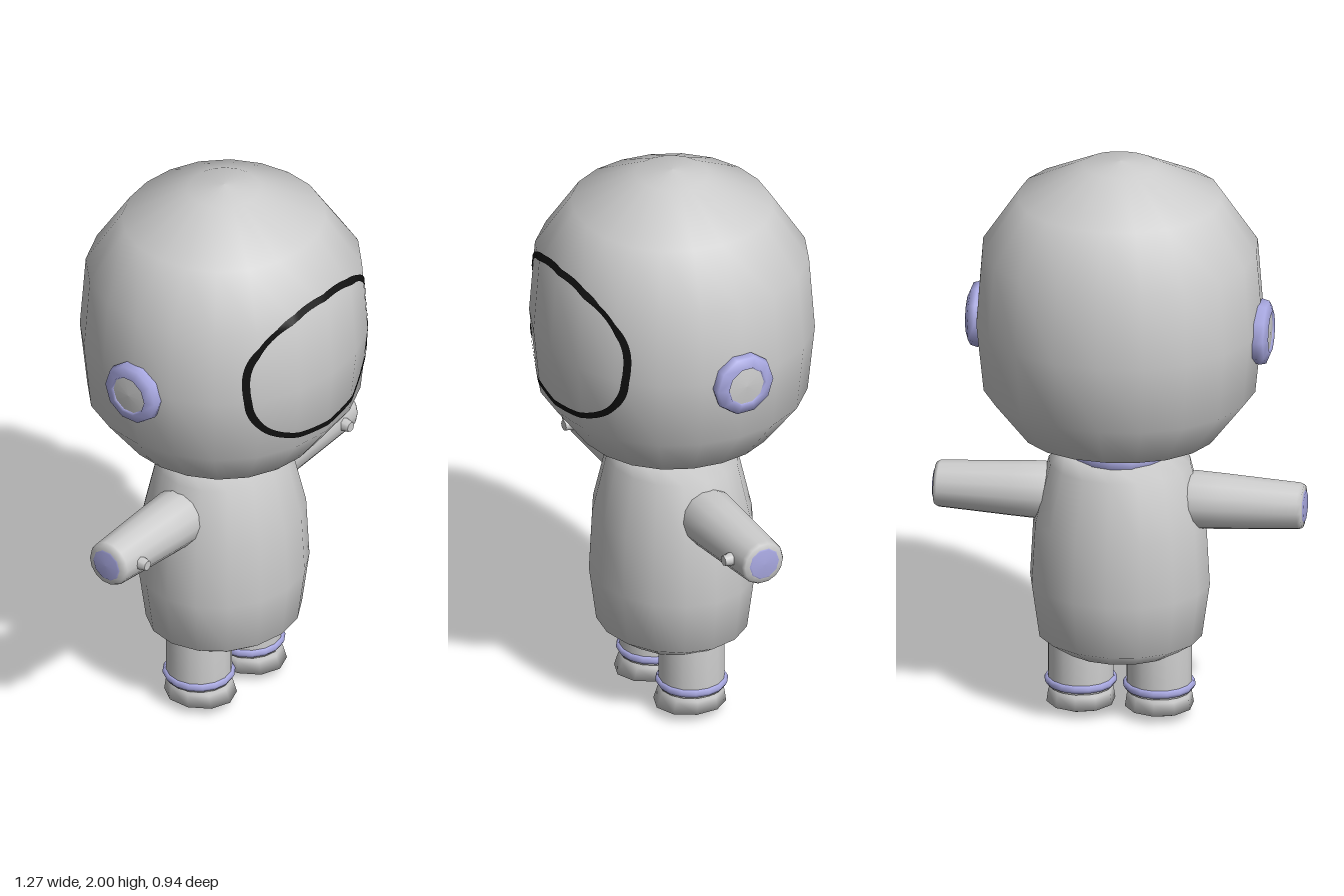
import * as THREE from 'three';

const paint = (name, color) => Object.assign(new THREE.MeshStandardMaterial({ color }), { name });

export function createModel() {
  const grey = paint('suit grey', 0xcccccc);
  const lavender = paint('trim lavender', 0xa9a9e2);
  const black = paint('visor line black', 0x111111);
  black.side = THREE.DoubleSide;

  const model = new THREE.Group();
  model.name = 'spaceSuitFigure';

  const add = (name, geometry, material, parent = model) => {
    const mesh = new THREE.Mesh(geometry, material);
    mesh.name = name;
    parent.add(mesh);
    return mesh;
  };
  // Profile points are [radius, height], from bottom to top
  const lathe = (points, sides) =>
    new THREE.LatheGeometry(points.map(([r, y]) => new THREE.Vector2(r, y)), sides);

  // Helmet: a faceted globe, a little squarer than a circle seen from above
  const helmetGeo = lathe([
    [0, 0.962], [0.17, 0.977], [0.34, 1.033], [0.462, 1.19], [0.487, 1.43],
    [0.467, 1.69], [0.345, 1.872], [0.125, 1.985], [0, 2],
  ], 20).scale(1, 1, 0.965);
  const p = helmetGeo.attributes.position;
  for (let i = 0; i < p.count; i++) {
    const x = p.getX(i), z = p.getZ(i);
    const k = 1 + 0.022 * Math.sin(2 * Math.atan2(x, z)) ** 2;
    p.setX(i, x * k);
    p.setZ(i, z * k);
  }
  const helmet = add('helmet', helmetGeo, grey);

  // Visor outline: a thin rounded band laid onto the front of the helmet
  helmet.updateMatrixWorld(true);
  const ray = new THREE.Raycaster();
  const toBack = new THREE.Vector3(0, 0, -1);
  const steps = 120;
  const verts = [], faces = [];
  for (let i = 0; i <= steps; i++) {
    const a = (i / steps) * Math.PI * 2;
    const c = Math.cos(a), s = Math.sin(a);
    for (const w of [-0.01, 0, 0.01]) {
      const x = (0.323 + w) * Math.sign(c) * Math.abs(c) ** 0.82;
      const y = 1.475 + (0.247 + w) * Math.sign(s) * Math.abs(s) ** 0.82;
      ray.set(new THREE.Vector3(x, y, 2), toBack);
      const hit = ray.intersectObject(helmet)[0];
      verts.push(x, y, (hit ? hit.point.z : 0.4) + 0.005);
    }
    if (i < steps) {
      for (const j of [0, 1]) {
        const q = i * 3 + j;
        faces.push(q, q + 1, q + 3, q + 1, q + 4, q + 3);
      }
    }
  }
  const band = new THREE.BufferGeometry();
  band.setAttribute('position', new THREE.Float32BufferAttribute(verts, 3));
  band.setIndex(faces);
  band.computeVertexNormals();
  add('visorOutline', band, black);

  // Neck ring
  add('neckRing', lathe([[0.16, 0.935], [0.178, 0.945], [0.18, 0.985], [0.15, 0.99]], 16), lavender);

  // Torso: a pear shape, slightly flattened front to back
  add('torso', lathe([
    [0, 0.205], [0.1, 0.214], [0.2, 0.238], [0.28, 0.29], [0.307, 0.48],
    [0.295, 0.7], [0.243, 0.91], [0.19, 0.952], [0, 0.955],
  ], 16).scale(1, 1, 0.9), grey);

  for (const [side, name] of [[1, 'left'], [-1, 'right']]) {
    const outward = -side * Math.PI / 2;

    // Earpiece: lavender ring around a grey pad
    const ear = new THREE.Group();
    ear.name = name + 'Earpiece';
    ear.position.set(0, 1.41, 0);
    ear.rotation.z = outward;
    model.add(ear);
    add('earRing', lathe([[0.1, 0.44], [0.112, 0.482], [0.106, 0.505], [0.072, 0.518], [0.066, 0.508]], 10),
      lavender, ear);
    add('earPad', lathe([[0.07, 0.505], [0.066, 0.51], [0, 0.514]], 10), grey, ear);

    // Arm: straight out, tapering to a flat lavender end
    const arm = new THREE.Group();
    arm.name = name + 'Arm';
    arm.position.set(0, 0.785, 0);
    arm.rotation.z = outward;
    model.add(arm);
    add('sleeve', lathe([[0.09, 0.2], [0.1, 0.26], [0.095, 0.36], [0.08, 0.615], [0.073, 0.628], [0.052, 0.631]], 14),
      grey, arm);
    add('sleeveEnd', lathe([[0.06, 0.628], [0.052, 0.634], [0, 0.636]], 10), lavender, arm);

    // Button on the front of the sleeve
    const button = add(name + 'SleeveButton', new THREE.CylinderGeometry(0.018, 0.025, 0.04, 8), grey);
    button.rotation.x = Math.PI / 2;
    button.position.set(side * 0.545, 0.785, 0.09);

    // Leg, ankle ring and boot
    const leg = new THREE.Group();
    leg.name = name + 'Leg';
    leg.position.x = side * 0.134;
    model.add(leg);
    add('trouser', lathe([[0.112, 0.09], [0.112, 0.27], [0.1, 0.32]], 16), grey, leg);
    const ring = add('ankleRing', new THREE.TorusGeometry(0.109, 0.015, 6, 16), lavender, leg);
    ring.rotation.x = Math.PI / 2;
    ring.position.y = 0.11;
    const bootGeo = lathe([[0, 0], [0.06, 0.009], [0.117, 0.032], [0.111, 0.075], [0.095, 0.104], [0, 0.106]], 10);
    const b = bootGeo.attributes.position;
    for (let i = 0; i < b.count; i++) {
      // Stretch the toe forward near the sole
      if (b.getZ(i) > 0) b.setZ(i, b.getZ(i) * (1 + 0.22 * (1 - b.getY(i) / 0.106)));
    }
    add('boot', bootGeo, grey, leg);
  }
  return model;
}
